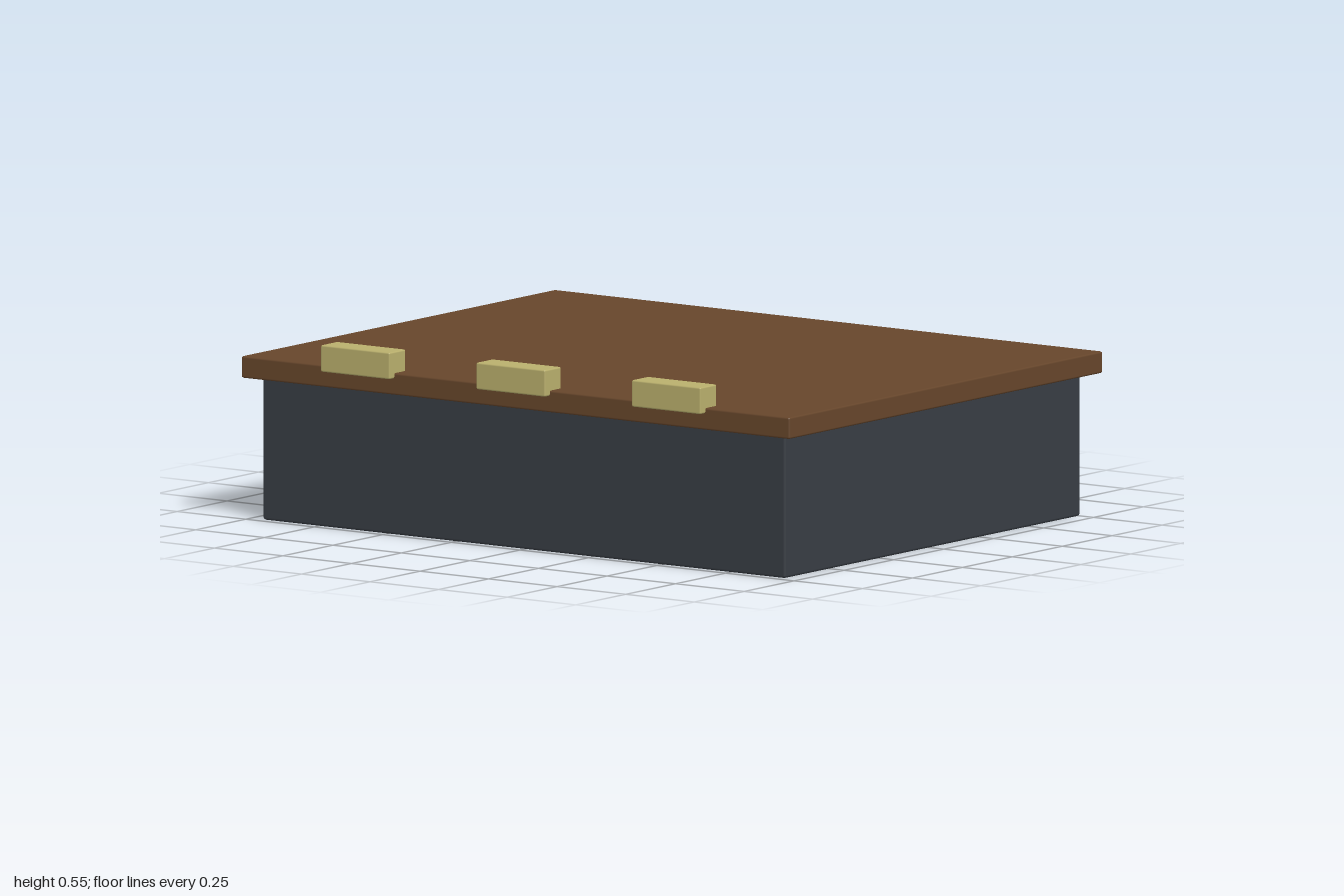
import * as THREE from 'three';
import { RoundedBoxGeometry } from 'three/addons/geometries/RoundedBoxGeometry.js';

function material(name, color) {
  const m = new THREE.MeshStandardMaterial({ color });
  m.name = name;
  return m;
}

export function createModel() {
  const group = new THREE.Group();
  group.name = 'hingedBox';
  const slate = material('slate', 0x383d44);
  const wood = material('brownWood', 0x67462b);
  const brass = material('paleBrass', 0xbab06d);

  // Box with slightly eased edges, given by its lower and upper corners
  function block(name, mat, [x0, y0, z0], [x1, y1, z1], bevel) {
    const geometry = new RoundedBoxGeometry(x1 - x0, y1 - y0, z1 - z0, 1, bevel);
    const mesh = new THREE.Mesh(geometry, mat);
    mesh.name = name;
    mesh.position.set((x0 + x1) / 2, (y0 + y1) / 2, (z0 + z1) / 2);
    group.add(mesh);
  }

  // Body and overhanging lid
  block('body', slate, [-0.953, 0, -0.75], [0.953, 0.43, 0.73], 0.008);
  block('lid', wood, [-1, 0.425, -0.797], [1, 0.49, 0.773], 0.006);

  // Three blocks along the front edge of the lid
  ['hingeRight', 'hingeMiddle', 'hingeLeft'].forEach((name, i) => {
    const x = (i - 1) * 0.567;
    block(name, brass, [x - 0.126, 0.474, 0.715], [x + 0.126, 0.554, 0.797], 0.005);
  });

  return group;
}
